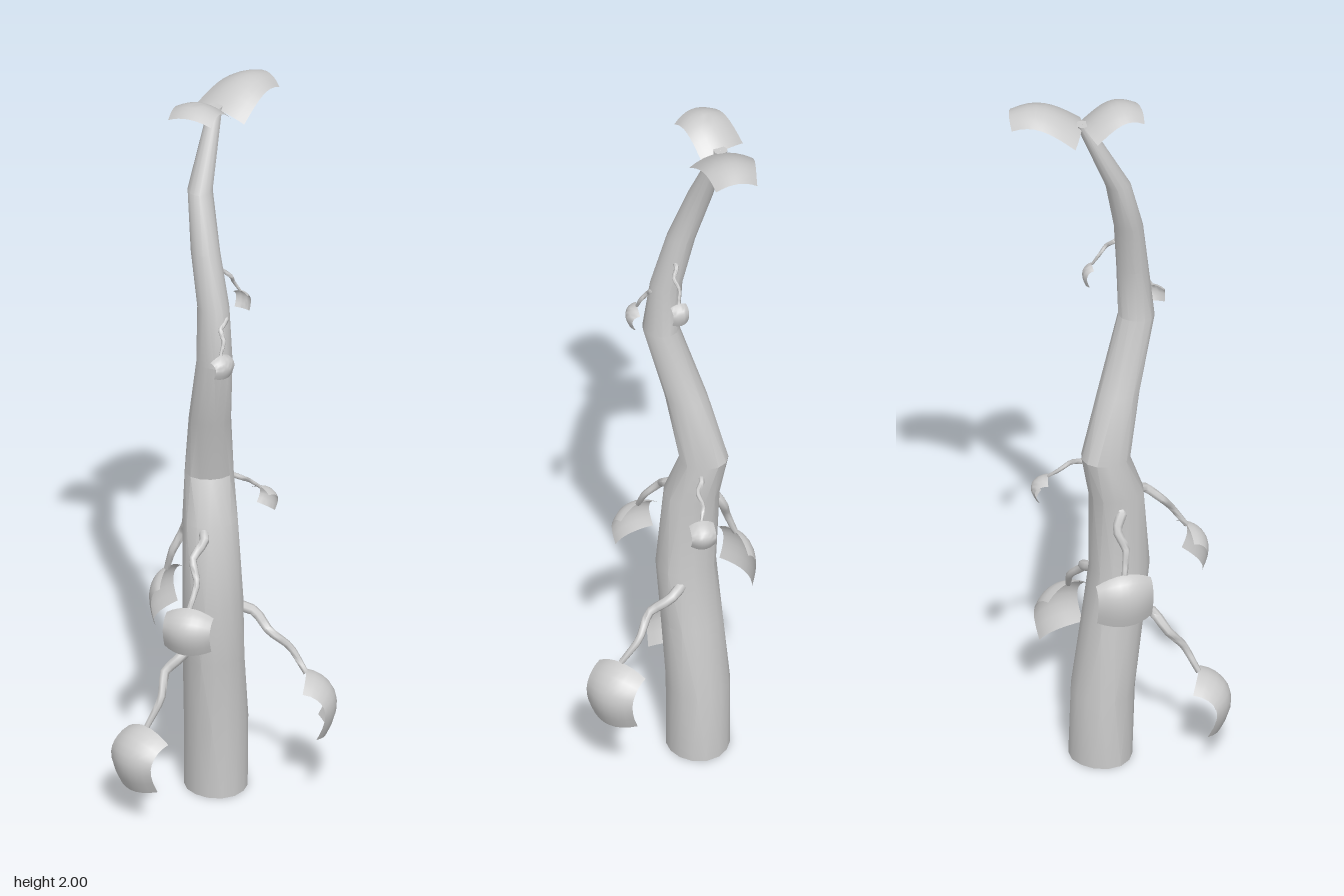
import * as THREE from 'three';
import { toCreasedNormals } from 'three/addons/utils/BufferGeometryUtils.js';

const material = new THREE.MeshStandardMaterial({ color: 0xcccccc, side: THREE.DoubleSide });

// Surface from rows x cols of points given by fn(row, col) -> Vector3
function gridGeometry(rows, cols, crease, fn) {
  const pos = [], index = [];
  for (let i = 0; i <= rows; i++)
    for (let j = 0; j <= cols; j++) pos.push(...fn(i, j).toArray());
  for (let i = 0; i < rows; i++)
    for (let j = 0; j < cols; j++) {
      const a = i * (cols + 1) + j, b = a + cols + 1;
      index.push(a, a + 1, b, b, a + 1, b + 1);
    }
  const g = new THREE.BufferGeometry();
  g.setAttribute('position', new THREE.Float32BufferAttribute(pos, 3));
  g.setIndex(index);
  return toCreasedNormals(g, crease);
}

function add(group, name, geometry) {
  const mesh = new THREE.Mesh(geometry, material);
  mesh.name = name;
  group.add(mesh);
}

// Trunk rings: centre x, y, centre z, radius
const trunkRings = [
  [-0.073, 0, -0.022, 0.083],
  [-0.074, 0.2, -0.018, 0.084],
  [-0.073, 0.4, 0.008, 0.081],
  [-0.07, 0.57, 0.028, 0.079],
  [-0.08, 0.8, 0.015, 0.073],
  [-0.093, 0.92, -0.02, 0.064],
  [-0.075, 1.1, 0.027, 0.055],
  [-0.043, 1.3, 0.092, 0.048],
  [-0.05, 1.45, 0.078, 0.042],
  [-0.08, 1.6, 0.053, 0.038],
  [-0.108, 1.75, 0.01, 0.033],
  [-0.095, 1.95, -0.085, 0.018],
];

// Twisting, slightly ridged trunk; the first and last rows close the ends
function trunkGeometry() {
  const sides = 14, last = trunkRings.length - 1;
  return gridGeometry(last + 2, sides, 0.5, (i, j) => {
    const [x, y, z, r] = trunkRings[THREE.MathUtils.clamp(i - 1, 0, last)];
    const turn = ((j % sides) / sides) * Math.PI * 2, a = turn + y * 0.9;
    const ridge = 1 + 0.035 * Math.sin(7 * turn) + 0.03 * Math.sin(3 * a + 4 * y);
    const radius = i === 0 || i === last + 2 ? 0.001 : r * ridge;
    return new THREE.Vector3(x + Math.sin(a) * radius, y, z + Math.cos(a) * radius);
  });
}

// Tapering stem that leaves the trunk level, then droops with small side-to-side kinks
function stemGeometry(start, end, r) {
  const span = end.clone().sub(start);
  const across = new THREE.Vector3(-span.z, 0, span.x).normalize().multiplyScalar(span.length() * 0.05);
  const points = [0, 0.25, 0.5, 0.75, 1].map((t, n) => {
    const p = start.clone().addScaledVector(span, t);
    p.y = start.y + span.y * t ** 1.6;
    return p.addScaledVector(across, n % 4 === 0 ? 0 : (-1) ** n);
  });
  const path = new THREE.CatmullRomCurve3(points, false, 'catmullrom', 0.25);
  const rows = 12, sides = 7;
  const { normals, binormals } = path.computeFrenetFrames(rows);
  return gridGeometry(rows, sides, 1, (i, j) => {
    const a = ((j % sides) / sides) * Math.PI * 2;
    const radius = r * (1 - 0.5 * (i / rows));
    return path.getPointAt(i / rows)
      .addScaledVector(normals[i], Math.cos(a) * radius)
      .addScaledVector(binormals[i], Math.sin(a) * radius);
  });
}

// Leaf following profile(s) = [outward, up]; its side edges bow away from the middle
function leafGeometry(base, degrees, width, bow, taper, profile) {
  const n = 8, angle = THREE.MathUtils.degToRad(degrees);
  const dir = new THREE.Vector3(Math.sin(angle), 0, Math.cos(angle));
  const side = new THREE.Vector3(dir.z, 0, -dir.x);
  const spine = new THREE.SplineCurve(
    Array.from({ length: n + 1 }, (_, i) => new THREE.Vector2(...profile(i / n))));
  return gridGeometry(n, n, 1, (i, j) => {
    const s = i / n, t = (j / n) * 2 - 1;
    const p = spine.getPoint(s), tangent = spine.getTangent(s), drop = bow * t * t;
    return base.clone()
      .addScaledVector(dir, p.x + tangent.y * drop)
      .addScaledVector(side, t * width * 0.5 * THREE.MathUtils.lerp(1, taper, s))
      .add(new THREE.Vector3(0, p.y - tangent.x * drop, 0));
  });
}

// Stem start, leaf base, heading (degrees from the front towards +x), leaf width, reach and drop
const branches = [
  ['lowerLeftBranch', [-0.02, 0.535, -0.02], [0.175, 0.37, -0.005], 105, 0.145, 0.08, 0.17],
  ['lowerFrontBranch', [-0.12, 0.45, 0.06], [-0.195, 0.26, 0.2], -30, 0.15, 0.085, 0.165],
  ['frontBranch', [-0.08, 0.79, 0.07], [-0.073, 0.635, 0.22], 0, 0.127, 0.055, 0.12],
  ['rightBranch', [-0.12, 0.785, 0], [-0.205, 0.615, -0.015], -96, 0.15, 0.042, 0.14],
  ['backBranch', [-0.06, 0.895, -0.04], [0.012, 0.825, -0.135], 153, 0.065, 0.045, 0.07],
  ['upperBackBranch', [-0.045, 1.54, 0.045], [-0.008, 1.455, -0.02], 166, 0.045, 0.025, 0.06],
  ['upperFrontBranch', [-0.02, 1.435, 0.08], [-0.01, 1.35, 0.15], 60, 0.065, 0.03, 0.06],
];

// Crown leaf base, heading, width, length, tip taper
const crownLeaves = [
  ['crownBackLeaf', [-0.092, 1.942, -0.085], 154, 0.17, 0.19, 0.65],
  ['crownFrontLeaf', [-0.11, 1.944, -0.085], -5, 0.132, 0.152, 0.9],
];

export function createModel() {
  const model = new THREE.Group();
  model.name = 'twistedPlant';
  add(model, 'trunk', trunkGeometry());

  for (const [name, from, to, heading, width, reach, drop] of branches) {
    const branch = new THREE.Group();
    branch.name = name;
    const start = new THREE.Vector3(...from), base = new THREE.Vector3(...to);
    add(branch, 'stem', stemGeometry(start, base, 0.003 + width * 0.085));
    add(branch, 'leaf', leafGeometry(base, heading, width, width * 0.19, 1,
      (s) => [reach * Math.sin(2.4 * s), -drop * s ** 1.6]));
    model.add(branch);
  }

  // Leaves on the tip of the trunk arch up before they fall
  for (const [name, base, heading, width, length, taper] of crownLeaves)
    add(model, name, leafGeometry(new THREE.Vector3(...base), heading, width, width * 0.15, taper,
      (s) => [length * s, 0.054 * Math.sin(Math.PI * 0.75 * s)]));
  return model;
}
